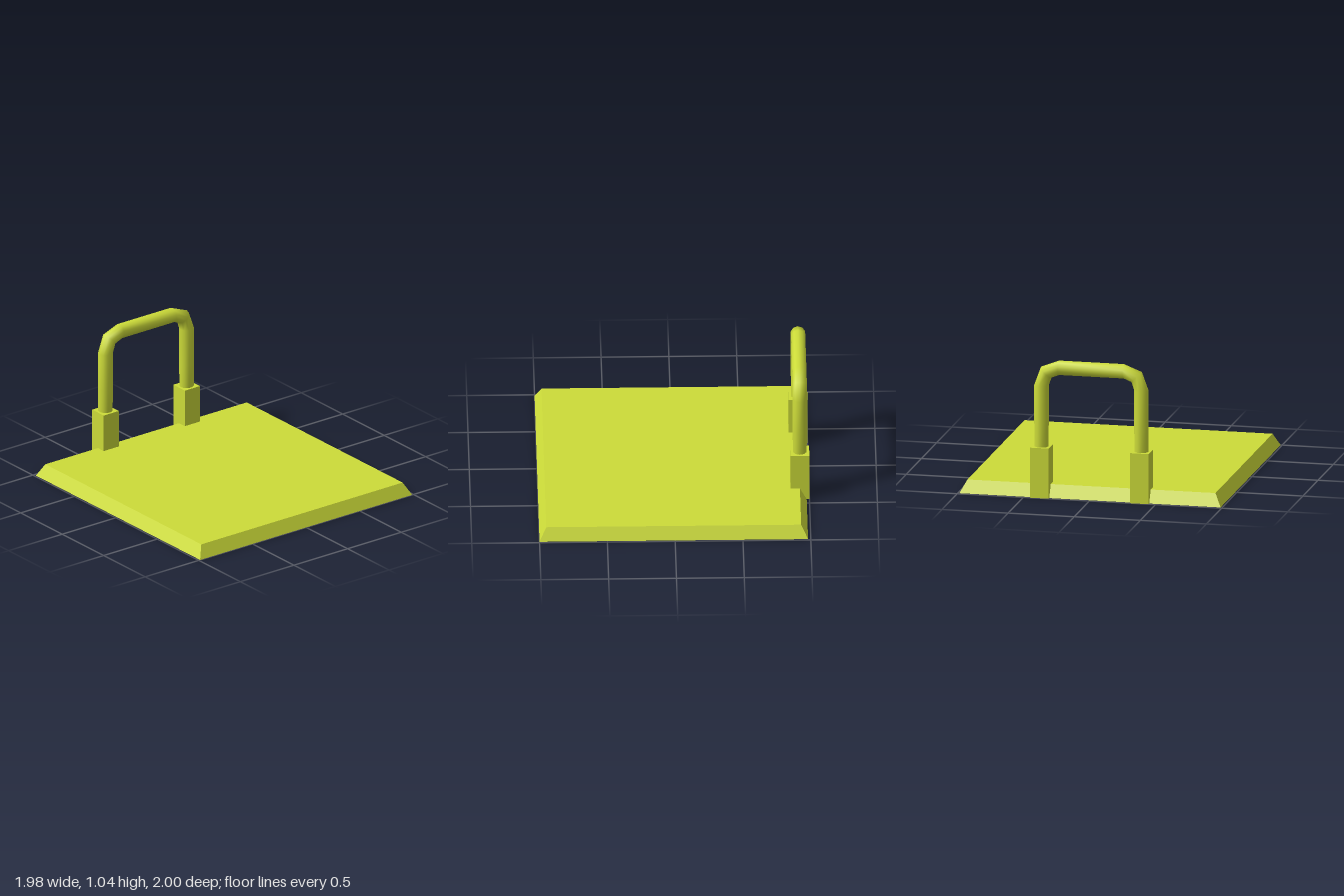
import * as THREE from 'three';

const material = new THREE.MeshStandardMaterial({ color: 0xcddc39, side: THREE.DoubleSide });

// Hollow box standing on y = 0 with no underside; the top edges lean in by inset.
function openBox(name, width, height, depth, inset = 0) {
  const geometry = new THREE.BoxGeometry(width, height, depth);
  geometry.translate(0, height / 2, 0);
  const p = geometry.attributes.position;
  for (let i = 0; i < p.count; i++) {
    if (p.getY(i) > height / 2) {
      p.setX(i, p.getX(i) - Math.sign(p.getX(i)) * inset);
      p.setZ(i, p.getZ(i) - Math.sign(p.getZ(i)) * inset);
    }
  }
  const index = Array.from(geometry.index.array);
  index.splice(18, 6); // the underside
  geometry.setIndex(index);
  geometry.clearGroups();
  geometry.computeVertexNormals();
  const mesh = new THREE.Mesh(geometry, material);
  mesh.name = name;
  return mesh;
}

// Round bar swept through rings of [x, y, tilt, radius].
function sweptBar(rings, sides) {
  const positions = [];
  const index = [];
  rings.forEach(([x, y, tilt, r], j) => {
    for (let i = 0; i < sides; i++) {
      const a = (i / sides) * Math.PI * 2;
      const out = r * Math.cos(a);
      positions.push(x + out * Math.cos(tilt), y + out * Math.sin(tilt), r * Math.sin(a));
      if (j === rings.length - 1) continue;
      const p = j * sides + i;
      const q = j * sides + ((i + 1) % sides);
      index.push(p, p + sides, q, q, p + sides, q + sides);
    }
  });
  const geometry = new THREE.BufferGeometry();
  geometry.setAttribute('position', new THREE.Float32BufferAttribute(positions, 3));
  geometry.setIndex(index);
  geometry.computeVertexNormals();
  return geometry;
}

export function createModel() {
  const model = new THREE.Group();
  model.name = 'plateWithHandle';

  // Shallow base plate with sloping sides, hollow underneath
  const base = openBox('basePlate', 1.976, 0.095, 1.98, 0.05);
  base.position.z = 0.01;
  model.add(base);

  // Square sockets at the back edge
  for (const [side, name] of [[1, 'leftSocket'], [-1, 'rightSocket']]) {
    const socket = openBox(name, 0.14, 0.38, 0.14);
    socket.position.set(side * 0.378, 0, -0.93);
    model.add(socket);
  }

  // Arched handle: one leg and bend, then its mirror image
  const half = [
    [0.378, 0.36, 0, 0.053],
    [0.378, 0.56, 0, 0.055],
    [0.378, 0.842, 0, 0.055],
    [0.342, 0.943, Math.PI / 4, 0.056],
    [0.245, 0.981, Math.PI / 2, 0.055],
  ];
  const mirrored = half.map(([x, y, tilt, r]) => [-x, y, Math.PI - tilt, r]).reverse();
  const handle = new THREE.Mesh(sweptBar([...half, ...mirrored], 10), material);
  handle.name = 'handle';
  handle.position.z = -0.93;
  model.add(handle);

  return model;
}
